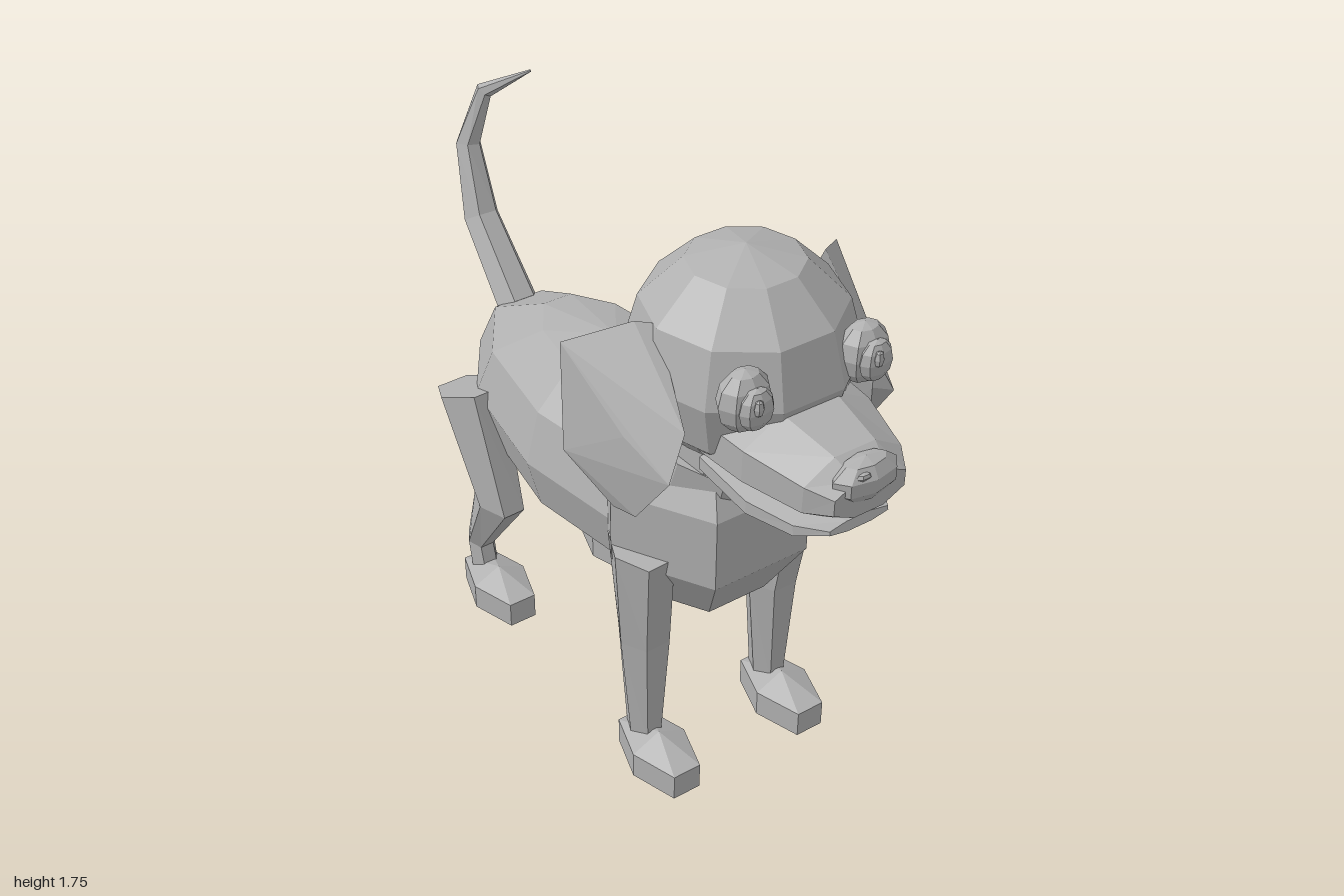
import * as THREE from 'three';
import { ConvexGeometry } from 'three/addons/geometries/ConvexGeometry.js';

const coat = new THREE.MeshStandardMaterial({ color: 0xb0b0b0 });
coat.name = 'plain grey';

// Adds a faceted mesh
function add(parent, name, geometry) {
  const flat = geometry.index ? geometry.toNonIndexed() : geometry;
  flat.computeVertexNormals();
  const mesh = new THREE.Mesh(flat, coat);
  mesh.name = name;
  parent.add(mesh);
  return mesh;
}

// Faceted ellipsoid: centre, radii, segments around and in height
function ball(parent, name, c, r, around, high) {
  const g = new THREE.SphereGeometry(1, around, high);
  g.scale(...r);
  g.translate(...c);
  return add(parent, name, g);
}

// Closed tube through rings [x, y, z, radius across, radius other way]
function loft(parent, name, rings, sides, turn = 0) {
  const centres = rings.map((r) => new THREE.Vector3(r[0], r[1], r[2]));
  const last = rings.length - 1;
  const pos = [];
  const index = [];
  rings.forEach((r, i) => {
    const t = centres[Math.min(i + 1, last)].clone().sub(centres[Math.max(i - 1, 0)]).normalize();
    const u = new THREE.Vector3(1, 0, 0).addScaledVector(t, -t.x).normalize();
    const v = t.clone().cross(u);
    for (let j = 0; j < sides; j++) {
      const a = (j / sides) * Math.PI * 2 + turn;
      const p = centres[i].clone().addScaledVector(u, Math.cos(a) * r[3]).addScaledVector(v, Math.sin(a) * r[4]);
      pos.push(p.x, p.y, p.z);
    }
  });
  const first = rings.length * sides;
  pos.push(...centres[0].toArray(), ...centres[last].toArray());
  for (let j = 0; j < sides; j++) {
    const k = (j + 1) % sides;
    for (let i = 0; i < last; i++) {
      const a = i * sides + j, b = i * sides + k;
      index.push(a, b, a + sides, b, b + sides, a + sides);
    }
    index.push(first, k, j, first + 1, last * sides + j, last * sides + k);
  }
  const g = new THREE.BufferGeometry();
  g.setAttribute('position', new THREE.Float32BufferAttribute(pos, 3));
  g.setIndex(index);
  return add(parent, name, g);
}

export function createModel() {
  const dog = new THREE.Group();
  dog.name = 'dog';

  // Trunk
  ball(dog, 'body', [0, 0.845, -0.13], [0.31, 0.325, 0.657], 10, 6);
  ball(dog, 'chest', [0, 0.903, 0.3], [0.326, 0.365, 0.328], 6, 5);
  loft(dog, 'neck', [[0, 0.9, 0.3, 0.22, 0.22], [0, 1.09, 0.36, 0.2, 0.215], [0, 1.26, 0.41, 0.18, 0.2]], 10);

  // Collar and tag
  const band = new THREE.CylinderGeometry(0.205, 0.215, 0.1, 10);
  band.scale(1, 1, 1.08);
  const collar = add(dog, 'collar', band);
  collar.position.set(0, 1.125, 0.365);
  collar.rotation.x = 0.3;
  ball(dog, 'collarTag', [0, 1.055, 0.585], [0.05, 0.055, 0.02], 8, 6);

  // Head and muzzle
  ball(dog, 'head', [0, 1.45, 0.45], [0.31, 0.305, 0.31], 10, 6);
  loft(dog, 'muzzle', [
    [0, 1.32, 0.5, 0.23, 0.13], [0, 1.32, 0.72, 0.216, 0.122],
    [0, 1.31, 0.9, 0.165, 0.102], [0, 1.31, 0.97, 0.12, 0.06],
  ], 8, Math.PI / 8);
  loft(dog, 'lowerJaw', [
    [0, 1.18, 0.5, 0.18, 0.05], [0, 1.175, 0.71, 0.19, 0.05],
    [0, 1.185, 0.86, 0.155, 0.04], [0, 1.205, 0.94, 0.1, 0.015],
  ], 8, Math.PI / 8);
  ball(dog, 'nose', [0, 1.348, 0.945], [0.105, 0.062, 0.053], 8, 5);
  ball(dog, 'noseHighlight', [-0.03, 1.378, 0.977], [0.025, 0.012, 0.012], 6, 4);

  // Tail, curling to one side at its tip
  loft(dog, 'tail', [
    [0, 0.99, -0.675, 0.068, 0.063], [0, 1.205, -0.875, 0.058, 0.058],
    [0.015, 1.415, -0.957, 0.042, 0.038], [0.07, 1.58, -0.94, 0.028, 0.026],
    [0.18, 1.65, -0.85, 0.004, 0.004],
  ], 6);

  for (const [s, side] of [[1, 'left'], [-1, 'right']]) {
    // Eyes
    ball(dog, side + 'Eye', [s * 0.185, 1.505, 0.7], [0.078, 0.088, 0.058], 8, 6);
    ball(dog, side + 'Pupil', [s * 0.185, 1.505, 0.75], [0.052, 0.06, 0.03], 8, 6);
    ball(dog, side + 'EyeHighlight', [s * 0.185 - 0.012, 1.525, 0.775], [0.015, 0.025, 0.012], 6, 4);

    // Ear flap, swung outward at the back
    const ear = [
      [0.25, 1.6, 0.43], [0.3, 1.61, 0.4], [0.44, 1.535, 0.28], [0.47, 1.245, 0.33],
      [0.4, 1.11, 0.45], [0.385, 1.12, 0.53], [0.36, 1.28, 0.64], [0.3, 1.4, 0.62],
      [0.32, 1.28, 0.6], [0.4, 1.36, 0.5],
    ].map(([x, y, z]) => new THREE.Vector3(s * x, y, z));
    add(dog, side + 'Ear', new ConvexGeometry(ear));

    // Legs
    loft(dog, side + 'FrontLeg', [
      [s * 0.245, 0.84, 0.35, 0.085, 0.115], [s * 0.225, 0.5, 0.335, 0.078, 0.082],
      [s * 0.225, 0.12, 0.335, 0.045, 0.062],
    ], 6);
    loft(dog, side + 'HindLeg', [
      [s * 0.25, 0.845, -0.555, 0.1, 0.14], [s * 0.245, 0.5, -0.42, 0.07, 0.1],
      [s * 0.225, 0.225, -0.592, 0.045, 0.045], [s * 0.225, 0.1, -0.57, 0.045, 0.048],
    ], 6);

    // Paws
    for (const [z, end] of [[0.412, 'Front'], [-0.487, 'Hind']]) {
      ball(dog, side + end + 'Paw', [s * 0.225, 0.085, z], [0.104, 0.085, 0.19], 6, 3);
    }
  }
  return dog;
}
